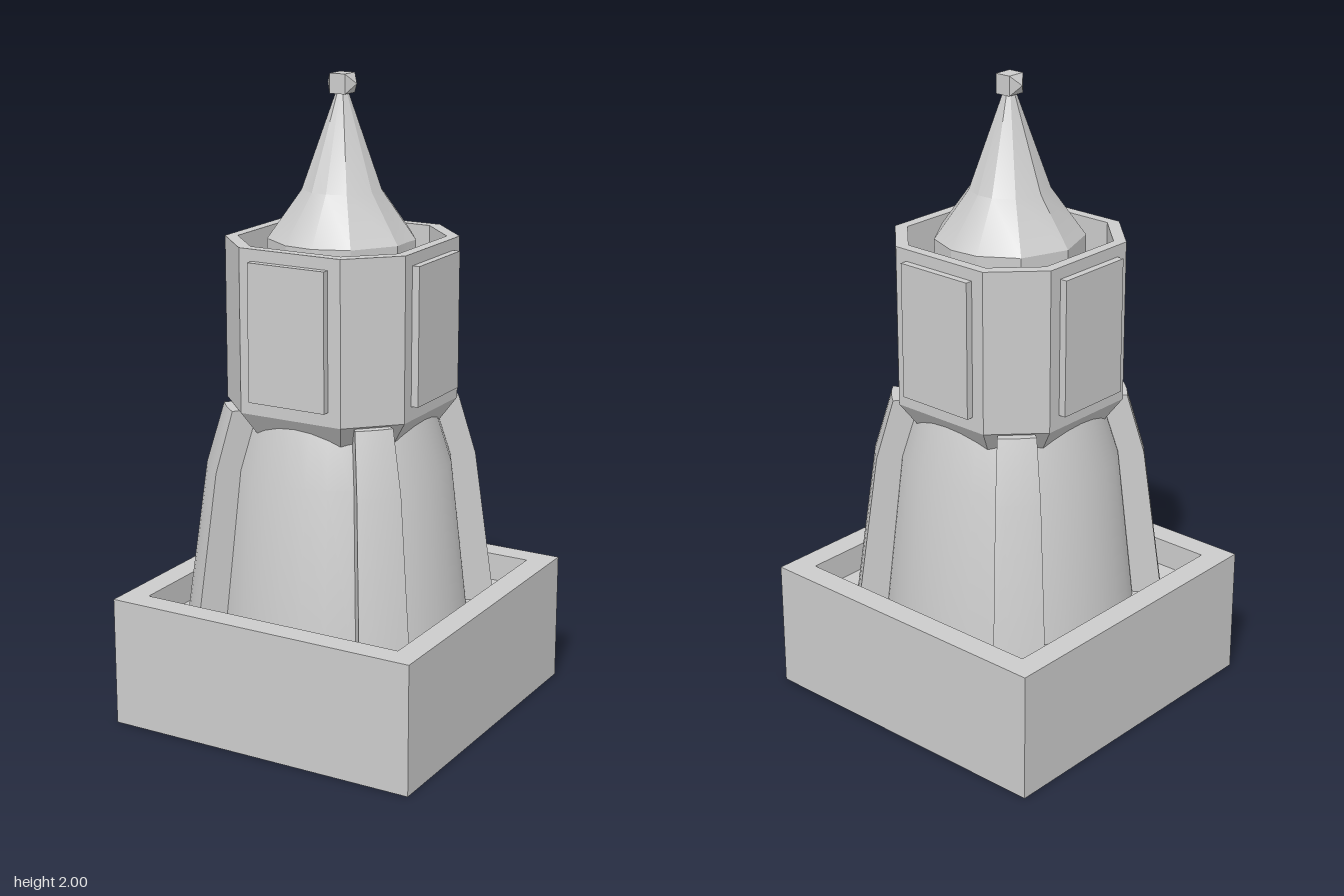
import * as THREE from 'three';
import { toCreasedNormals } from 'three/addons/utils/BufferGeometryUtils.js';

const material = new THREE.MeshStandardMaterial({ color: 0xcccccc });

function addMesh(parent, name, geometry, crease = 0.5) {
  const mesh = new THREE.Mesh(toCreasedNormals(geometry, crease), material);
  mesh.name = name;
  parent.add(mesh);
  return mesh;
}

// Stack scaled copies of an [x, z] outline; levels are [scale, y]
function loft(outline, levels) {
  const n = outline.length, positions = [], index = [];
  levels.forEach(([s, y], j) => {
    outline.forEach(([x, z], i) => {
      positions.push(x * s, y, z * s);
      if (j === 0) return;
      const a = (j - 1) * n + i, b = (j - 1) * n + (i + 1) % n;
      const c = a + n, d = b + n;
      if (s > 0) index.push(a, c, d);
      if (levels[j - 1][0] > 0) index.push(a, d, b);
      else if (s > 0) return;
      if (s === 0) return;
    });
  });
  // Where a level closes to a point, one triangle per side is enough
  const g = new THREE.BufferGeometry();
  g.setAttribute('position', new THREE.Float32BufferAttribute(positions, 3));
  g.setIndex(index);
  return g;
}

// Leg profile bent around the tower axis
function legGeometry() {
  const profile = new THREE.Shape([
    [0.2, 0.32], [0.487, 0.32], [0.42, 0.81], [0.364, 1.0], [0.2, 1.0],
  ].map(([r, y]) => new THREE.Vector2(r, y)));
  const g = new THREE.ExtrudeGeometry(profile, { depth: 1, steps: 4, bevelEnabled: false });
  const p = g.attributes.position;
  const spread = 0.322;
  for (let i = 0; i < p.count; i++) {
    const r = p.getX(i), a = (p.getZ(i) - 0.5) * spread;
    p.setXYZ(i, r * Math.cos(a), p.getY(i), r * Math.sin(a));
  }
  return g;
}

export function createModel() {
  const model = new THREE.Group();
  model.name = 'tower';

  // Square base with a sunken floor
  const h = 0.515;
  addMesh(model, 'base', loft([[h, -h], [h, h], [-h, h], [-h, -h]],
    [[0, 0], [1, 0], [1, 0.41], [0.85, 0.41], [0.85, 0.32], [0, 0.32]]));

  // Tapered round body
  const bodyProfile = [[0.395, 0.32], [0.34, 0.81], [0.28, 1.0], [0, 1.0]]
    .map(([r, y]) => new THREE.Vector2(r, y));
  addMesh(model, 'body', new THREE.LatheGeometry(bodyProfile, 32));

  // Four buttress legs on the diagonals
  const leg = legGeometry();
  for (let k = 0; k < 4; k++) {
    addMesh(model, 'leg', leg).rotation.y = Math.PI / 4 + k * Math.PI / 2;
  }

  // Eight-sided chamber with tapered underside and open top
  const a = 0.31, f = 0.172;
  const octagon = [[a, -f], [a, f], [f, a], [-f, a], [-a, f], [-a, -f], [-f, -a], [f, -a]];
  addMesh(model, 'chamber', loft(octagon,
    [[0, 0.87], [0.71, 0.87], [1, 1.005], [1, 1.51], [0.89, 1.51], [0.89, 1.36], [0, 1.36]]));

  // Raised panels on the four main faces
  for (let k = 0; k < 4; k++) {
    const pivot = new THREE.Group();
    pivot.name = 'panel';
    pivot.rotation.y = k * Math.PI / 2;
    addMesh(pivot, 'panelPlate', new THREE.BoxGeometry(0.26, 0.425, 0.05))
      .position.set(0, 1.261, 0.308);
    model.add(pivot);
  }

  // Spire with an uneven faceted outline
  const half = [14.5, 54, 83, 107, 140];
  const angles = [0, ...half, 180, ...half.map((d) => 360 - d).reverse()];
  const spireOutline = angles.map((d) => {
    const r = d === 0 ? 0.219 : 0.229, t = d * Math.PI / 180;
    return [r * Math.cos(t), r * Math.sin(t)];
  });
  addMesh(model, 'spire', loft(spireOutline,
    [[1, 1.36], [1, 1.51], [0.54, 1.655], [0.06, 1.96], [0, 1.96]]), 0.45);

  // Finial: small block with pointed ends
  const s = 0.03;
  const finial = addMesh(model, 'finial', loft([[s, -s], [s, s], [-s, s], [-s, -s]],
    [[0, -0.05], [1, -0.026], [1, 0.026], [0, 0.05]]), 0.1);
  finial.rotation.z = Math.PI / 2;
  finial.position.y = 1.97;

  return model;
}
